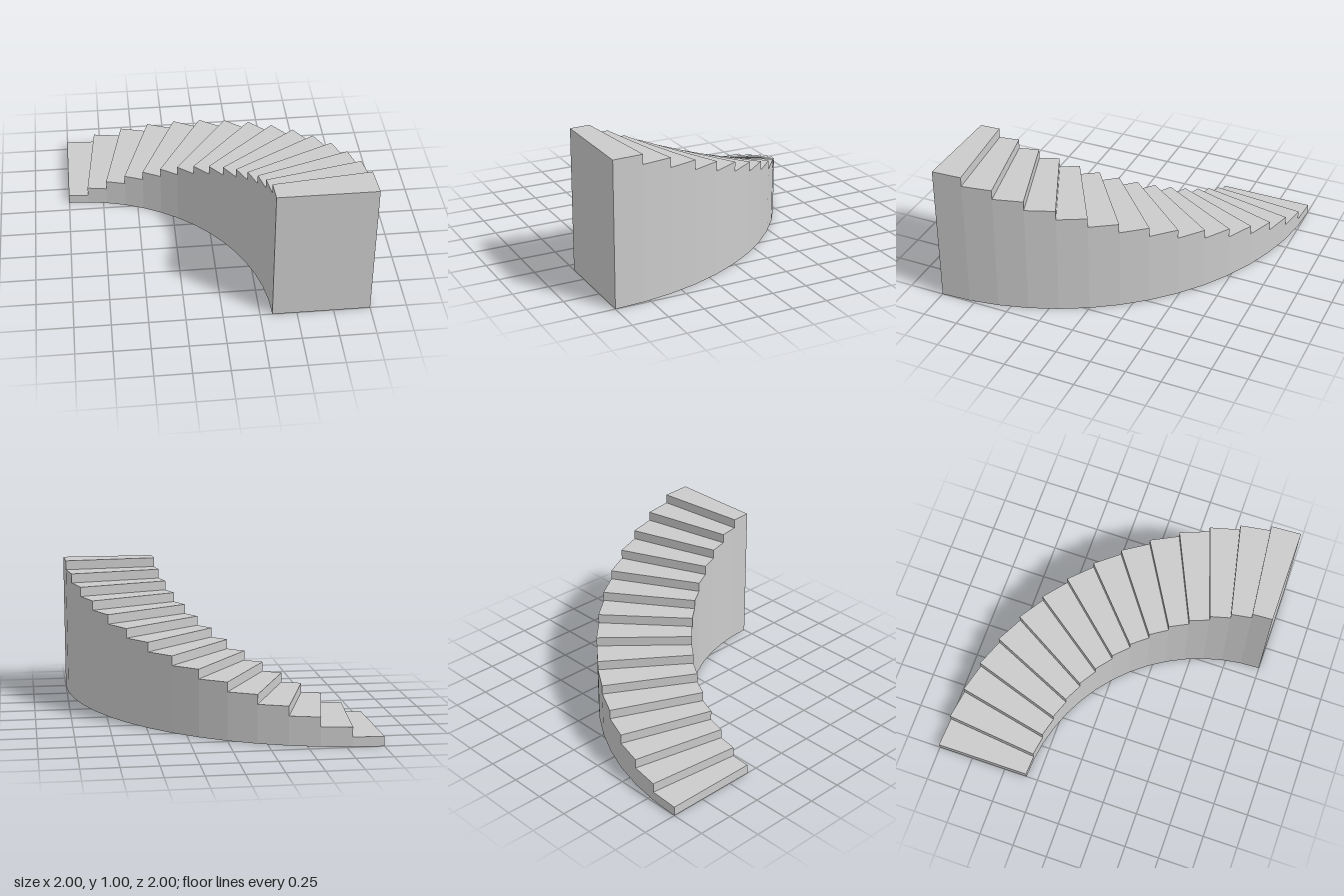
import * as THREE from 'three';

const STEPS = 15, INNER = 4 / 3, OUTER = 2, RISE = 1 / STEPS;

// Point on the quarter turn: radius r, step edge k, height y
function point(r, k, y) {
  const a = (Math.PI / 2) * (1 - k / STEPS);
  return [-1 + r * Math.cos(a), y, 1 - r * Math.sin(a)];
}

// Flat faces from four-cornered loops, counter-clockwise from outside
function quadMesh(name, quads, material) {
  const positions = quads.flatMap(([a, b, c, d]) => [a, b, c, a, c, d].flat());
  const geometry = new THREE.BufferGeometry();
  geometry.setAttribute('position', new THREE.Float32BufferAttribute(positions, 3));
  geometry.computeVertexNormals();
  const mesh = new THREE.Mesh(geometry, material);
  mesh.name = name;
  return mesh;
}

export function createModel() {
  const group = new THREE.Group();
  group.name = 'curvedStaircase';
  const material = new THREE.MeshStandardMaterial({ color: 0xcccccc, flatShading: true });
  const treads = [], risers = [], outerWall = [], innerWall = [], underside = [];

  for (let i = 0; i < STEPS; i++) {
    const j = i + 1, low = i * RISE, top = j * RISE;
    treads.push([point(INNER, i, top), point(INNER, j, top), point(OUTER, j, top), point(OUTER, i, top)]);
    risers.push([point(OUTER, i, low), point(INNER, i, low), point(INNER, i, top), point(OUTER, i, top)]);
    outerWall.push([point(OUTER, j, 0), point(OUTER, i, 0), point(OUTER, i, top), point(OUTER, j, top)]);
    innerWall.push([point(INNER, i, 0), point(INNER, j, 0), point(INNER, j, top), point(INNER, i, top)]);
    underside.push([point(INNER, i, 0), point(OUTER, i, 0), point(OUTER, j, 0), point(INNER, j, 0)]);
  }

  // Full-height wall closing the top end of the flight
  const endWall = [[point(INNER, STEPS, 0), point(OUTER, STEPS, 0), point(OUTER, STEPS, 1), point(INNER, STEPS, 1)]];

  const parts = { treads, risers, outerWall, innerWall, underside, endWall };
  for (const [name, quads] of Object.entries(parts)) group.add(quadMesh(name, quads, material));
  return group;
}
